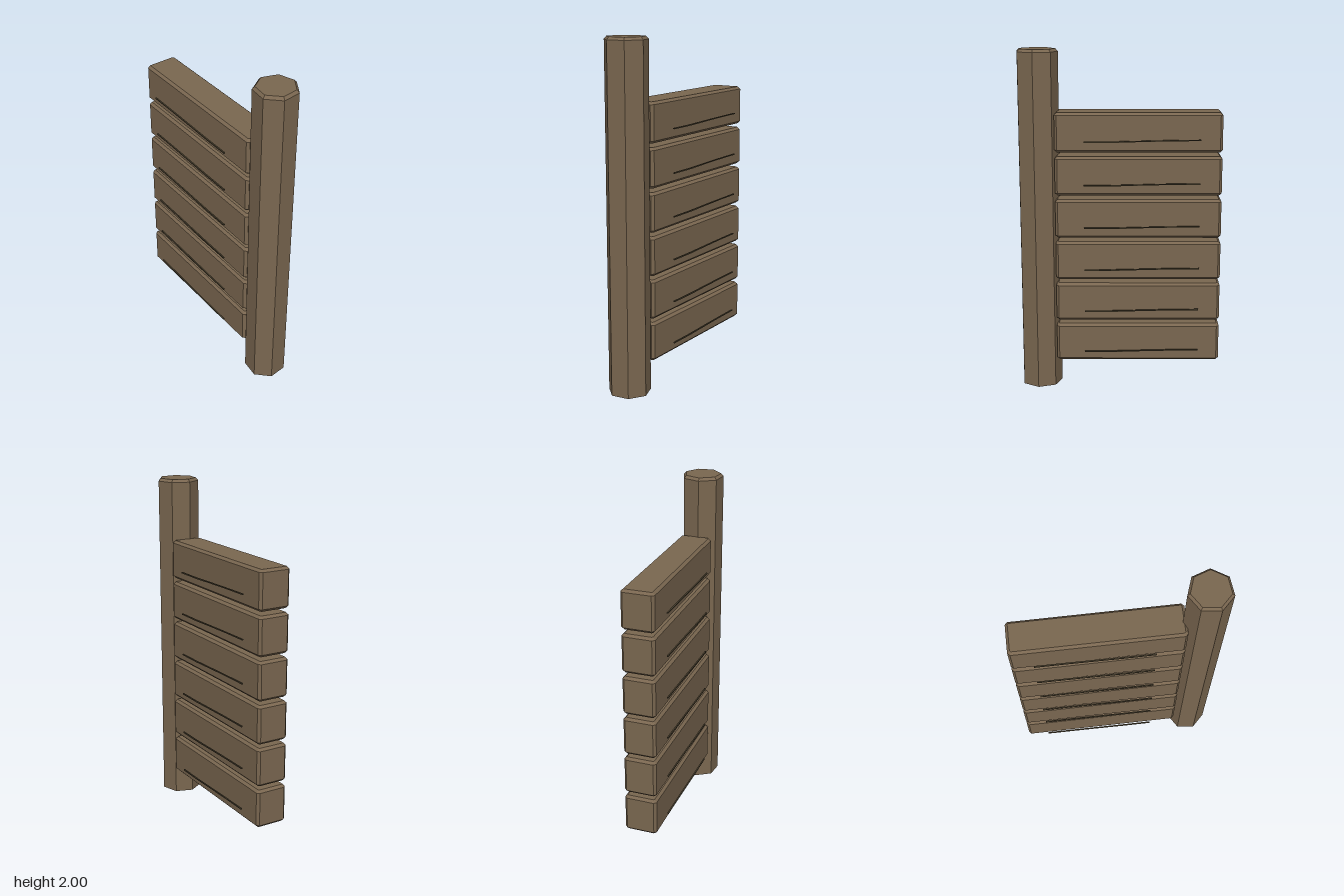
import * as THREE from 'three';

const wood = new THREE.MeshStandardMaterial({ color: 0x7a6750 });
wood.name = 'weathered wood';
const darkGrain = new THREE.MeshStandardMaterial({ color: 0x4a412f });
darkGrain.name = 'dark grain';

function polygon(points) {
  return new THREE.Shape(points.map(([x, y]) => new THREE.Vector2(x, y)));
}

// Box with every edge chamfered by c, centred on the origin
function chamferedBox(length, height, depth, c) {
  const a = length / 2, b = depth / 2;
  const outline = polygon([
    [-a + c, -b], [a - c, -b], [a, -b + c], [a, b - c],
    [a - c, b], [-a + c, b], [-a, b - c], [-a, -b + c],
  ]);
  const geometry = new THREE.ExtrudeGeometry(outline, {
    depth: height - 2 * c, bevelEnabled: true, bevelSegments: 1,
    bevelSize: c, bevelThickness: c, bevelOffset: -c,
  });
  geometry.translate(0, 0, -height / 2 + c);
  return geometry.rotateX(-Math.PI / 2);
}

// Thin, slightly crooked grain line
function grainLine() {
  const outline = polygon([
    [-0.333, 0.002], [-0.18, 0.001], [0, -0.003], [0.16, -0.008], [0.333, -0.008],
    [0.333, -0.001], [0.18, -0.001], [0.05, 0.002], [-0.12, 0.006], [-0.333, 0.009],
  ]);
  const geometry = new THREE.ExtrudeGeometry(outline, { depth: 0.008, bevelEnabled: false });
  return geometry.translate(0, 0, -0.004);
}

export function createModel() {
  const model = new THREE.Group();
  model.name = 'plankGate';

  // Seven-sided post with a chamfered top
  const post = new THREE.Group();
  post.name = 'post';
  post.position.set(0.345, 0, 0.35);
  const shaft = new THREE.Mesh(
    new THREE.CylinderGeometry(0.1225, 0.1225, 1.984, 7, 1, true, Math.PI).toNonIndexed(), wood);
  shaft.name = 'postShaft';
  shaft.position.y = 0.992;
  const cap = new THREE.Mesh(
    new THREE.CylinderGeometry(0.108, 0.1225, 0.016, 7, 1, false, Math.PI).toNonIndexed(), wood);
  cap.name = 'postTop';
  cap.position.y = 1.992;
  const foot = new THREE.Mesh(
    new THREE.CircleGeometry(0.1225, 7, Math.PI / 2).rotateX(Math.PI / 2), wood);
  foot.name = 'postBottom';
  for (const part of [shaft, cap]) part.geometry.computeVertexNormals();
  post.add(shaft, cap, foot);
  model.add(post);

  // Six planks swung open diagonally from the post
  const leaf = new THREE.Group();
  leaf.name = 'gateLeaf';
  leaf.rotation.y = -Math.PI / 4;
  model.add(leaf);

  const plankGeometry = chamferedBox(0.961, 0.228, 0.191, 0.0145);
  const grainGeometry = grainLine();
  for (let i = 0; i < 6; i++) {
    const y = 0.277 + i * 0.251;
    const plank = new THREE.Mesh(plankGeometry, wood);
    plank.name = 'plank' + (i + 1);
    plank.position.set(-0.0885, y, 0);
    leaf.add(plank);

    // Grain line on each face
    for (const side of [1, -1]) {
      const grain = new THREE.Mesh(grainGeometry, darkGrain);
      grain.name = (side > 0 ? 'frontGrain' : 'backGrain') + (i + 1);
      grain.position.set(-0.109, y - 0.043, side * 0.122);
      leaf.add(grain);
    }
  }
  return model;
}
